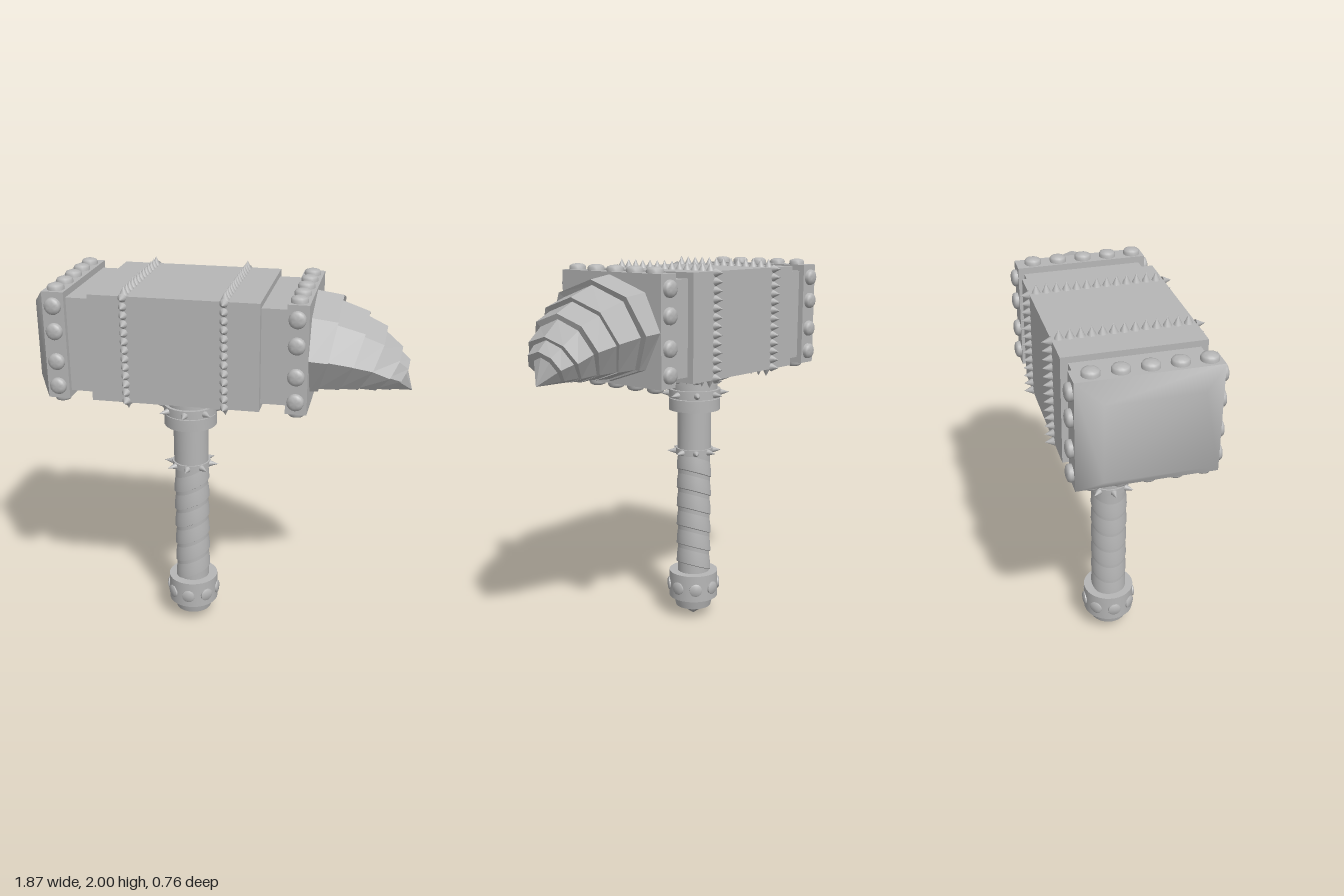
import * as THREE from 'three';
import { toCreasedNormals } from 'three/addons/utils/BufferGeometryUtils.js';

const UP = new THREE.Vector3(0, 1, 0);
const HEAD_Y = 1.686;
const HANDLE_X = -0.21;

export function createModel() {
  const model = new THREE.Group();
  const stone = new THREE.MeshStandardMaterial({ color: 0xb6b6b6 });
  stone.name = 'grey stone';
  const facetedStone = stone;

  function add(name, geometry, x = 0, y = 0, z = 0, parent = model) {
    const mesh = new THREE.Mesh(geometry, stone);
    mesh.name = name;
    mesh.position.set(x, y, z);
    parent.add(mesh);
    return mesh;
  }
  // Places a part whose axis is +y so that it points along a direction
  function stud(name, geometry, position, direction, parent) {
    add(name, geometry, ...position, parent).quaternion
      .setFromUnitVectors(UP, new THREE.Vector3(...direction).normalize());
  }
  function lathe(points, sides = 32, crease = 0.6) {
    const pts = points.map(([r, y]) => new THREE.Vector2(r, y));
    return toCreasedNormals(new THREE.LatheGeometry(pts, sides), crease);
  }
  // Joins rings of points into a strip; faces point away from the axis
  function loft(rings) {
    const n = rings[0].length;
    const index = [];
    for (let i = 0; i < rings.length - 1; i++) {
      for (let j = 0; j < n; j++) {
        const a = i * n + j, b = i * n + (j + 1) % n;
        index.push(a, b, a + n, b, b + n, a + n);
      }
    }
    const g = new THREE.BufferGeometry();
    g.setAttribute('position', new THREE.Float32BufferAttribute(rings.flat(2), 3));
    g.setIndex(index);
    return g;
  }

  // Head blocks: x from, x to, height, depth
  const blocks = [
    ['rearPlate', -0.86, -0.75, 0.542, 0.66],
    ['rearNeck', -0.75, -0.63, 0.477, 0.6],
    ['headBlock', -0.63, 0.21, 0.538, 0.67],
    ['frontNeck', 0.21, 0.335, 0.477, 0.6],
    ['frontPlate', 0.335, 0.44, 0.542, 0.66],
  ];
  for (const [name, x0, x1, h, d] of blocks) {
    add(name, new THREE.BoxGeometry(x1 - x0, h, d), (x0 + x1) / 2, HEAD_Y, 0);
  }

  // Pillowed striking face
  const rect = (x, h, d) => [[x, h, d], [x, -h, d], [x, -h, -d], [x, h, -d]];
  const face = loft([rect(-0.86, 0.271, 0.33), rect(-0.935, 0.192, 0.22)]);
  face.setIndex([...face.index.array].concat([4, 7, 6, 4, 6, 5]));
  // Wind the faces outward
  const ids = [...face.index.array];
  const p = face.attributes.position;
  const v = (i) => new THREE.Vector3().fromBufferAttribute(p, i);
  const inside = new THREE.Vector3(-0.86, 0, 0);
  for (let i = 0; i < ids.length; i += 3) {
    const [a, b, c] = [v(ids[i]), v(ids[i + 1]), v(ids[i + 2])];
    const normal = b.clone().sub(a).cross(c.clone().sub(a));
    if (normal.dot(a.sub(inside)) < 0) [ids[i + 1], ids[i + 2]] = [ids[i + 2], ids[i + 1]];
  }
  face.setIndex(ids);
  face.computeVertexNormals();
  add('strikingFace', face, 0, HEAD_Y, 0);

  // Round rivets on the end plates
  const rivet = lathe([[0.042, -0.01], [0.042, 0.014], [0.037, 0.023], [0.022, 0.029], [0, 0.031]], 16, 0.9);
  const rivets = new THREE.Group();
  rivets.name = 'plateRivets';
  model.add(rivets);
  for (const x of [-0.805, 0.385]) {
    for (const s of [-1, 1]) {
      for (const y of [1.888, 1.761, 1.607, 1.48]) stud('rivet', rivet, [x, y, s * 0.33], [0, 0, s], rivets);
      for (let i = 0; i < 5; i++) stud('rivet', rivet, [x, HEAD_Y + s * 0.271, -0.245 + i * 0.13], [0, s, 0], rivets);
    }
  }

  // Rows of small spikes wrapped round the head
  const spike = new THREE.ConeGeometry(0.022, 0.045, 10).translate(0, 0.0215, 0);
  const spikes = new THREE.Group();
  spikes.name = 'headSpikes';
  model.add(spikes);
  for (const x of [-0.455, 0.037]) {
    for (const s of [-1, 1]) {
      for (let i = -6; i <= 6; i++) {
        stud('spike', spike, [x, HEAD_Y + i * 0.0435, s * 0.335], [0, 0, s], spikes);
        stud('spike', spike, [x, HEAD_Y + s * 0.269, i * 0.05], [0, s, 0], spikes);
      }
    }
  }

  // Curved stepped horn: x top, x bottom, y top, y bottom, half depth
  const hornRings = [
    [0.44, 0.44, 1.945, 1.425, 0.325], [0.57, 0.455, 1.926, 1.43, 0.32],
    [0.56, 0.455, 1.9, 1.437, 0.28], [0.7, 0.545, 1.851, 1.442, 0.26],
    [0.69, 0.54, 1.83, 1.445, 0.235], [0.79, 0.635, 1.782, 1.448, 0.215],
    [0.785, 0.63, 1.756, 1.45, 0.18], [0.87, 0.72, 1.682, 1.453, 0.165],
    [0.86, 0.715, 1.666, 1.455, 0.13], [0.91, 0.8, 1.618, 1.457, 0.11],
    [0.895, 0.8, 1.59, 1.457, 0.075], [0.93, 0.93, 1.459, 1.459, 0],
  ].map(([xt, xb, yt, yb, rz]) => Array.from({ length: 8 }, (_, j) => {
    const a = j * Math.PI / 4;
    const t = (1 - Math.cos(a)) / 2;
    return [xt + (xb - xt) * t ** 1.6, yt + (yb - yt) * t, rz * Math.sin(a)];
  }));
  const horn = loft(hornRings).toNonIndexed();
  horn.computeVertexNormals();
  add('steppedHorn', horn);

  // Handle
  const handle = new THREE.Group();
  handle.name = 'handle';
  handle.position.x = HANDLE_X;
  model.add(handle);
  add('shaft', new THREE.CylinderGeometry(0.093, 0.093, 0.45, 32), 0, 1.17, 0, handle);
  add('collar', lathe([
    [0.093, 1.193], [0.14, 1.193], [0.14, 1.257], [0.122, 1.257], [0.122, 1.262], [0.142, 1.262],
    [0.142, 1.308], [0.125, 1.308], [0.125, 1.34], [0.142, 1.34], [0.142, 1.386], [0.136, 1.386], [0.136, 1.43],
  ]), 0, 0, 0, handle);
  add('gripRing', lathe([[0.08, 0.943], [0.102, 0.943], [0.102, 0.978], [0.08, 0.978]]), 0, 0, 0, handle);

  // Pointed studs around the collar and the ring
  const point = new THREE.ConeGeometry(0.019, 0.055, 12).translate(0, 0.022, 0);
  const gem = lathe([[0.036, -0.02], [0.036, 0.006], [0.027, 0.011], [0, 0.013]], 16, 0.9);
  function studRing(name, geometry, radius, y) {
    for (let i = 0; i < 8; i++) {
      const a = i * Math.PI / 4;
      const c = Math.cos(a), s = Math.sin(a);
      stud(name, geometry, [radius * c, y, radius * s], [c, 0, s], handle);
    }
  }
  studRing('collarStud', point, 0.142, 1.363);
  studRing('collarStud', point, 0.142, 1.284);
  studRing('ringStud', point, 0.1, 0.96);

  // Overlapping slanted grip wraps
  add('gripCore', new THREE.CylinderGeometry(0.089, 0.089, 0.7, 32), 0, 0.6, 0, handle);
  const wrap = lathe([[0.086, -0.05], [0.096, -0.045], [0.094, 0], [0.086, 0.06]], 32, 0.7);
  const w = wrap.attributes.position;
  for (let i = 0; i < w.count; i++) w.setY(i, w.getY(i) + w.getX(i) * 0.4);
  for (let i = 0; i < 6; i++) add('gripWrap', wrap, 0, 0.335 + i * 0.108, 0, handle);

  // Pommel with inset discs
  add('pommel', lathe([
    [0, 0], [0.078, 0.055], [0.098, 0.058], [0.11, 0.11], [0.136, 0.115], [0.136, 0.265], [0.08, 0.265],
  ]), 0, 0, 0, handle);
  studRing('pommelDisc', gem, 0.134, 0.185);

  return model;
}
